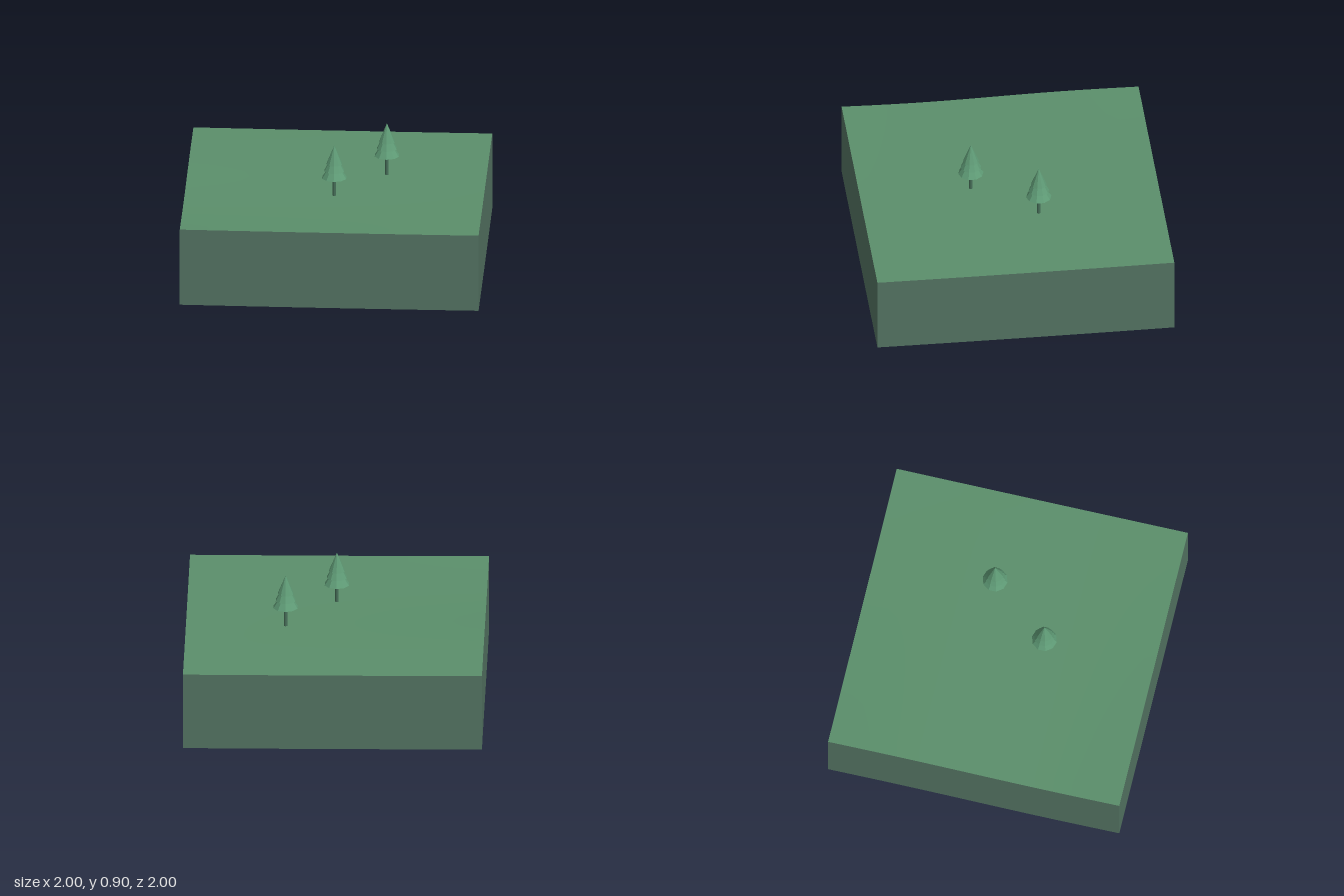
import * as THREE from 'three';

const DEPTH = 0.535; // height of the skirt walls
const mat = (name, color, side = THREE.FrontSide) => {
  const m = new THREE.MeshStandardMaterial({ color, side });
  m.name = name;
  return m;
};

// gentle rolling ground height
const height = (x, z) =>
  0.545 - 0.005 * x + 0.004 * z + 0.002 * x * x + 0.003 * z * z
  - 0.0035 * (1 - x) * Math.sin(Math.PI * z);

function createGround(material) {
  const geo = new THREE.PlaneGeometry(2, 2, 24, 24).rotateX(-Math.PI / 2);
  const p = geo.attributes.position;
  for (let i = 0; i < p.count; i++) p.setY(i, height(p.getX(i), p.getZ(i)));
  geo.computeVertexNormals();
  const mesh = new THREE.Mesh(geo, material);
  mesh.name = 'ground';
  return mesh;
}

// one wall hanging from a ground edge, its lower rim following the same curve
function createWall(name, angle, material) {
  const geo = new THREE.PlaneGeometry(2, 1, 24, 1).translate(0, 0, 1).rotateY(angle);
  const p = geo.attributes.position;
  for (let i = 0; i < p.count; i++) {
    const top = height(p.getX(i), p.getZ(i));
    p.setY(i, p.getY(i) > 0 ? top : top - DEPTH);
  }
  const mesh = new THREE.Mesh(geo, material);
  mesh.name = name;
  return mesh;
}

// thin trunk with three stacked cones; lift raises the crown
function createTree(x, z, lift, leaf, bark) {
  const tree = new THREE.Group();
  tree.name = 'tree';
  const ground = height(x, z) - 0.005;
  const crown = 0.67 + lift;
  const trunkHeight = crown + 0.02 - ground;
  const trunk = new THREE.Mesh(new THREE.CylinderGeometry(0.012, 0.012, trunkHeight, 8), bark);
  trunk.position.y = ground + trunkHeight / 2;
  trunk.name = 'trunk';
  tree.add(trunk);
  [[0, 0.085, 0.13], [0.05, 0.069, 0.13], [0.098, 0.054, 0.132]].forEach(([y, r, h]) => {
    const cone = new THREE.Mesh(new THREE.ConeGeometry(r, h, 10), leaf);
    cone.position.y = crown + y + h / 2;
    cone.name = 'branches';
    tree.add(cone);
  });
  tree.position.set(x, 0, z);
  return tree;
}

export function createModel() {
  const group = new THREE.Group();
  group.name = 'groundTile';
  const grass = mat('grass green', 0x5b8f6b, THREE.DoubleSide);
  const earth = mat('grey green', 0x547463, THREE.DoubleSide);
  const leaf = mat('leaf green', 0x5f9b76);
  leaf.flatShading = true;
  const bark = mat('bark green', 0x48705a);

  group.add(createGround(grass));
  ['frontWall', 'leftWall', 'backWall', 'rightWall'].forEach((name, i) =>
    group.add(createWall(name, i * Math.PI / 2, earth)));
  group.add(createTree(0, 0.25, 0, leaf, bark));
  group.add(createTree(0.333, -0.167, 0.01, leaf, bark));
  return group;
}
